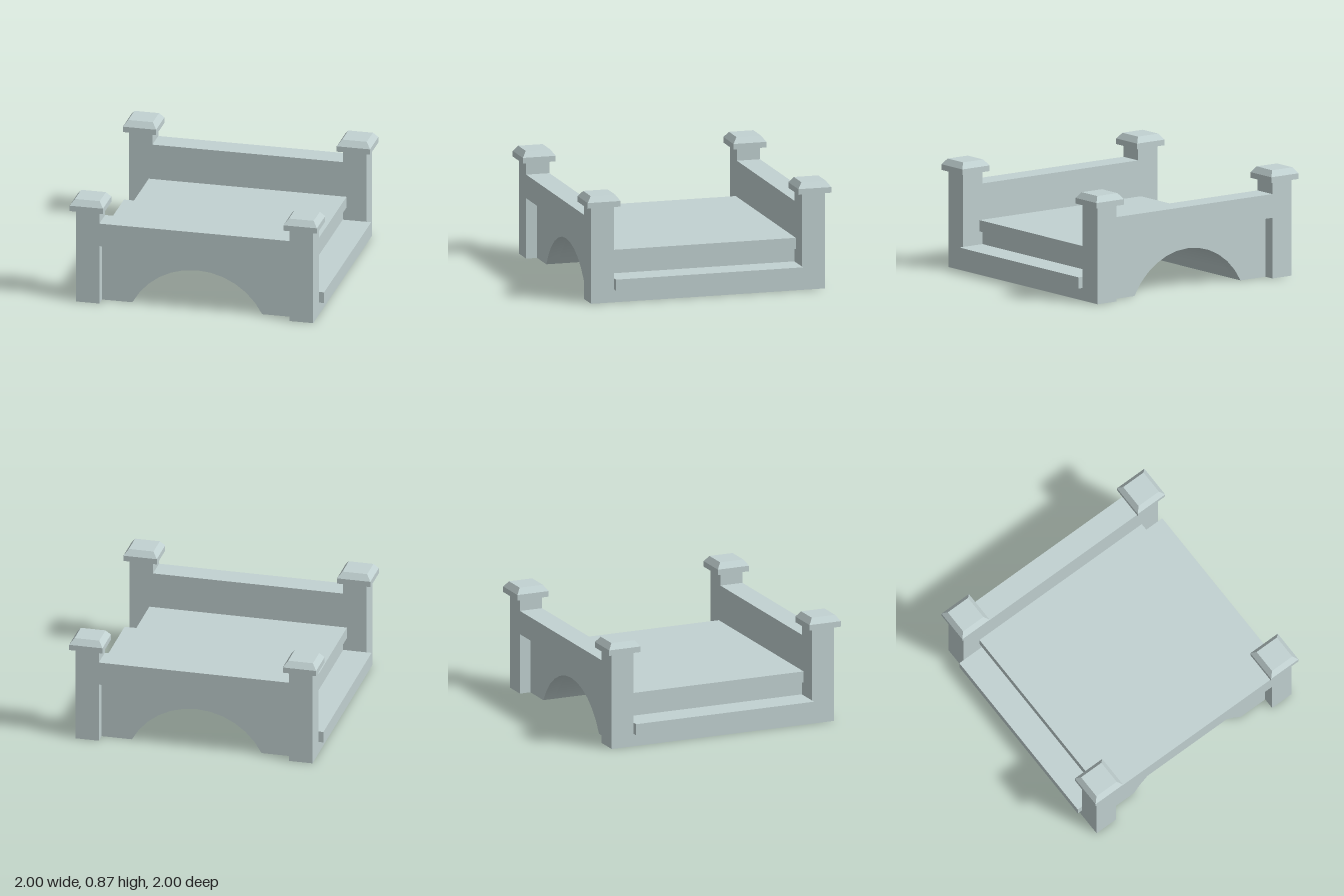
import * as THREE from 'three';
import { toCreasedNormals } from 'three/addons/utils/BufferGeometryUtils.js';

const ARCH_RADIUS = 0.59, ARCH_Y = -0.27, ARCH_HALF = 0.525, ARCH_STEPS = 12;

// Solid outline on the ground with the arch cut out of its bottom edge
function archedShape(halfWidth, height) {
  const shape = new THREE.Shape();
  shape.moveTo(ARCH_HALF, 0);
  shape.lineTo(halfWidth, 0);
  shape.lineTo(halfWidth, height);
  shape.lineTo(-halfWidth, height);
  shape.lineTo(-halfWidth, 0);
  shape.lineTo(-ARCH_HALF, 0);
  const start = Math.atan2(-ARCH_Y, ARCH_HALF);
  for (let i = 1; i < ARCH_STEPS; i++) {
    const a = Math.PI - start - (Math.PI - 2 * start) * (i / ARCH_STEPS);
    shape.lineTo(Math.cos(a) * ARCH_RADIUS, ARCH_Y + Math.sin(a) * ARCH_RADIUS);
  }
  shape.closePath();
  return shape;
}

// Extrude along z between z0 and z1, smooth only along the arch
function archedBlock(halfWidth, height, z0, z1) {
  const geo = new THREE.ExtrudeGeometry(archedShape(halfWidth, height), { depth: z1 - z0, bevelEnabled: false });
  geo.translate(0, 0, z0);
  return toCreasedNormals(geo, 0.35);
}

// Box given by its limits on each axis
function boxBetween(x0, x1, y0, y1, z0, z1) {
  const geo = new THREE.BoxGeometry(x1 - x0, y1 - y0, z1 - z0);
  return geo.translate((x0 + x1) / 2, (y0 + y1) / 2, (z0 + z1) / 2);
}

export function createModel() {
  const model = new THREE.Group();
  model.name = 'bridge';
  const stone = new THREE.MeshStandardMaterial({ color: 0xc2d2d2 });
  stone.name = 'pale stone';

  const add = (name, geometry, parent = model) => {
    const mesh = new THREE.Mesh(geometry, stone);
    mesh.name = name;
    parent.add(mesh);
    return mesh;
  };

  // Vaulted core: low base, taller middle carried by the same arch
  add('base', boxBetween(0.77, 0.96, 0, 0.1, -0.77, 0.77));
  add('base', boxBetween(-0.96, -0.77, 0, 0.1, -0.77, 0.77));
  add('vault', archedBlock(0.77, 0.34, -0.77, 0.77));
  add('deck', boxBetween(-0.8, 0.8, 0.295, 0.385, -0.77, 0.77));

  // Step at each end of the deck
  for (const side of [-1, 1]) {
    add('step', boxBetween(-0.13, 0.13, 0.1, 0.19, -0.768, 0.768)).position.x = side * 0.87;
  }

  // Parapets: recessed arched panel with a thicker rail above
  for (const side of [-1, 1]) {
    const z = [side * 0.77, side * 0.87, side * 0.96].sort((a, b) => a - b);
    const [panelA, panelB] = side > 0 ? [z[0], z[1]] : [z[1], z[2]];
    const [railA, railB] = side > 0 ? [z[1], z[2]] : [z[0], z[1]];
    add('parapetPanel', archedBlock(0.77, 0.675, panelA, panelB));
    add('parapetRail', boxBetween(-0.77, 0.77, 0.485, 0.675, railA, railB));
  }

  // Corner posts with bevelled caps
  for (const sx of [-1, 1]) {
    for (const sz of [-1, 1]) {
      const post = new THREE.Group();
      post.name = 'cornerPost';
      post.position.set(sx * 0.865, 0, sz * 0.865);
      model.add(post);
      add('postShaft', boxBetween(-0.095, 0.095, 0, 0.775, -0.095, 0.095), post);
      add('capSlab', boxBetween(-0.135, 0.135, 0.775, 0.82, -0.135, 0.135), post);
      const bevel = new THREE.CylinderGeometry(0.1 * Math.SQRT2, 0.135 * Math.SQRT2, 0.047, 4);
      bevel.rotateY(Math.PI / 4).translate(0, 0.8435, 0);
      add('capBevel', toCreasedNormals(bevel, 0.2), post);
    }
  }
  return model;
}
